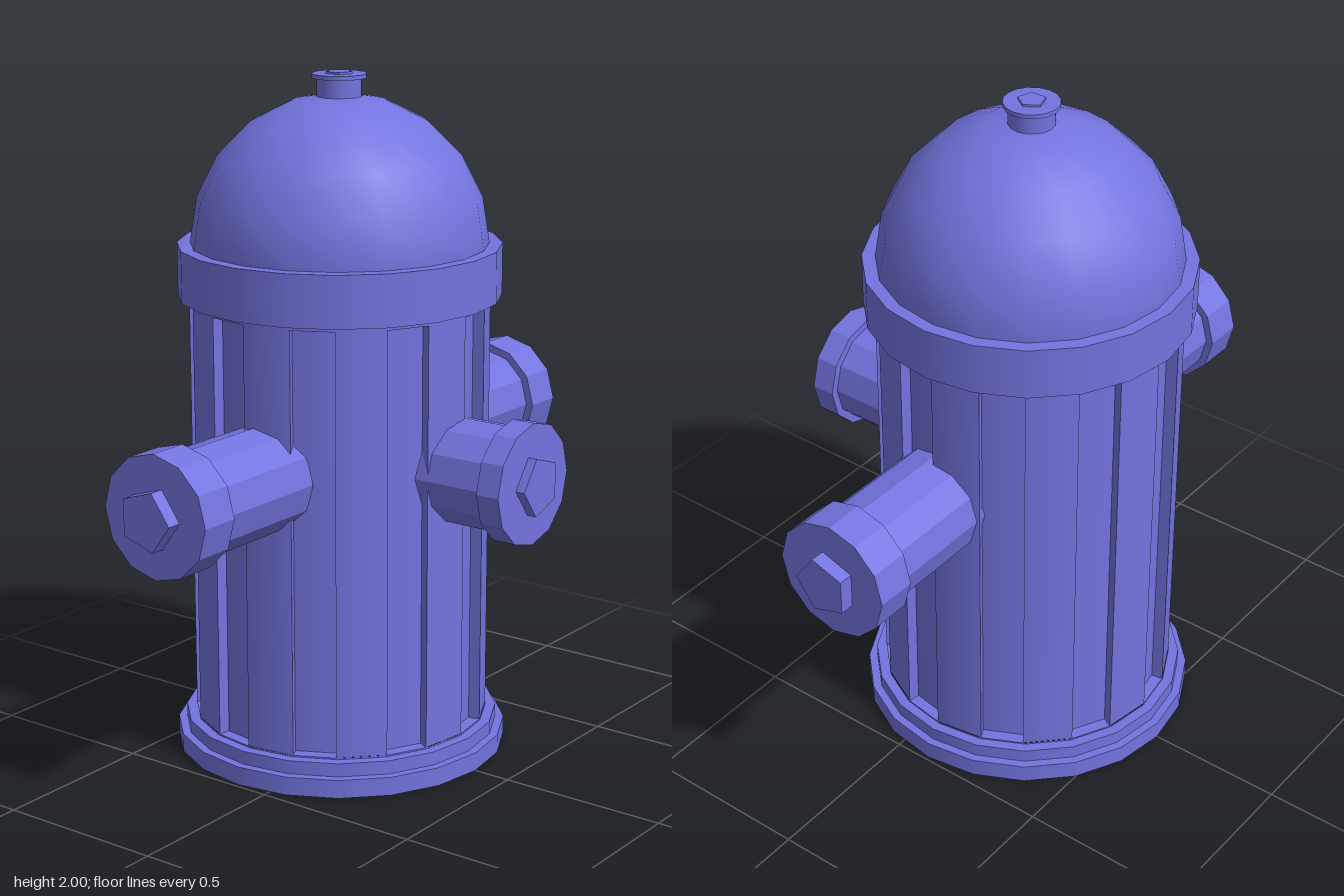
import * as THREE from 'three';
import { mergeGeometries } from 'three/addons/utils/BufferGeometryUtils.js';

const SIDES = 20, AXIS_X = -0.103, R = 0.435, DEPTH = 0.035;
const LOW = 0.1, HIGH = 1.345;
const rad = THREE.MathUtils.degToRad;

// Turned shape with hard edges between profile segments (listed bottom to top)
function bands(profile, sides = SIDES) {
  const pts = profile.map(([r, y]) => new THREE.Vector2(r, y));
  return mergeGeometries(pts.slice(1).map((p, i) => new THREE.LatheGeometry([pts[i], p], sides)));
}

// Open upright strip of the barrel between two angles
function strip(y0, y1, a0, a1) {
  const g = new THREE.CylinderGeometry(R, R, y1 - y0, 1, 1, true, rad(a0), rad(a1 - a0));
  return g.translate(0, (y0 + y1) / 2, 0);
}

function quad(a, b, c, d) {
  const g = new THREE.BufferGeometry();
  g.setAttribute('position', new THREE.Float32BufferAttribute([...a, ...b, ...c, ...d], 3));
  g.setAttribute('uv', new THREE.Float32BufferAttribute([0, 0, 1, 0, 1, 1, 0, 1], 2));
  g.setIndex([0, 1, 2, 0, 2, 3]);
  g.computeVertexNormals();
  return g;
}

// Barrel wall: plain facets alternating with sunken vertical panels
function barrelGeometry() {
  const parts = [bands([[R, 0.09], [R, LOW]]), bands([[R, HIGH], [R, 1.37]])];
  for (let k = 0; k < 10; k++) {
    const s = k * 36 - 18, a0 = s + 0.7, a1 = s + 17.3, mid = rad(s + 9);
    parts.push(strip(LOW, HIGH, a1, s + 36.7));
    const inX = -Math.sin(mid) * DEPTH, inZ = -Math.cos(mid) * DEPTH;
    parts.push(strip(LOW, HIGH, a0, a1).translate(inX, 0, inZ));
    const out = (a, y) => [Math.sin(rad(a)) * R, y, Math.cos(rad(a)) * R];
    const inn = (a, y) => { const p = out(a, y); return [p[0] + inX, y, p[2] + inZ]; };
    const rim = [[a0, LOW], [a1, LOW], [a1, HIGH], [a0, HIGH]];
    rim.forEach((p, i) => {
      const q = rim[(i + 1) % 4];
      parts.push(quad(out(...p), out(...q), inn(...q), inn(...p)));
    });
  }
  return mergeGeometries(parts);
}

export function createModel() {
  const group = new THREE.Group();
  group.name = 'fireHydrant';
  const paint = new THREE.MeshStandardMaterial({ color: 0x7474e0 });
  paint.name = 'violet blue paint';
  const shell = paint.clone();
  shell.side = THREE.DoubleSide;
  const faceted = paint.clone();
  faceted.flatShading = true;

  const add = (name, geometry, material, parent) => {
    const m = new THREE.Mesh(geometry, material);
    m.name = name;
    parent.add(m);
    return m;
  };

  const column = new THREE.Group();
  column.name = 'column';
  column.position.x = AXIS_X;
  group.add(column);

  // Hollow base and barrel
  add('base', bands([[0.49, 0], [0.49, 0.055], [0.465, 0.055], [0.465, 0.095], [R, 0.095]]), shell, column);
  add('barrel', barrelGeometry(), shell, column);

  // Collar and dome
  add('collar', bands([[R - 0.01, 1.36], [0.468, 1.36], [0.468, 1.51], [0.42, 1.51]]), shell, column);
  const dome = new THREE.SphereGeometry(0.43, SIDES, 5, Math.PI / 2, Math.PI * 2, 0, Math.PI / 2);
  add('dome', dome.translate(0, 1.51, 0), shell, column);

  // Top knob with five-sided nut
  add('knob', bands([[0.065, 1.92], [0.065, 1.982], [0.079, 1.982], [0.079, 1.994], [0, 1.994]], 16), shell, column);
  const topNut = new THREE.CylinderGeometry(0.04, 0.04, 0.02, 5);
  add('topNut', topNut.rotateY(Math.PI).translate(0, 1.99, 0), faceted, column);

  // Outlets: pipe, cap and five-sided nut along local +z, a corner toward cornerSign * x
  function outlet(name, x, z, turn, cornerSign, [start, capStart, capEnd, nutEnd]) {
    const o = new THREE.Group();
    o.name = name;
    o.position.set(x, 0.9, z);
    o.rotation.y = turn;
    group.add(o);
    const piece = (part, r, from, to, sides) => {
      const g = new THREE.CylinderGeometry(r, r, to - from, sides);
      g.rotateY(cornerSign * Math.PI / 2).rotateX(Math.PI / 2).translate(0, 0, (from + to) / 2);
      add(part, g, faceted, o);
    };
    piece('pipe', 0.154, start, capStart + 0.01, 12);
    piece('cap', 0.177, capStart, capEnd, 12);
    piece('nut', 0.088, capEnd - 0.01, nutEnd, 5);
  }
  outlet('frontOutlet', -0.08, 0, 0, 1, [0.36, 0.73, 0.85, 0.893]);
  outlet('backOutlet', -0.08, 0, Math.PI, -1, [0.36, 0.73, 0.85, 0.893]);
  outlet('leftOutlet', 0, -0.01, Math.PI / 2, -1, [0.26, 0.49, 0.562, 0.59]);

  return group;
}
